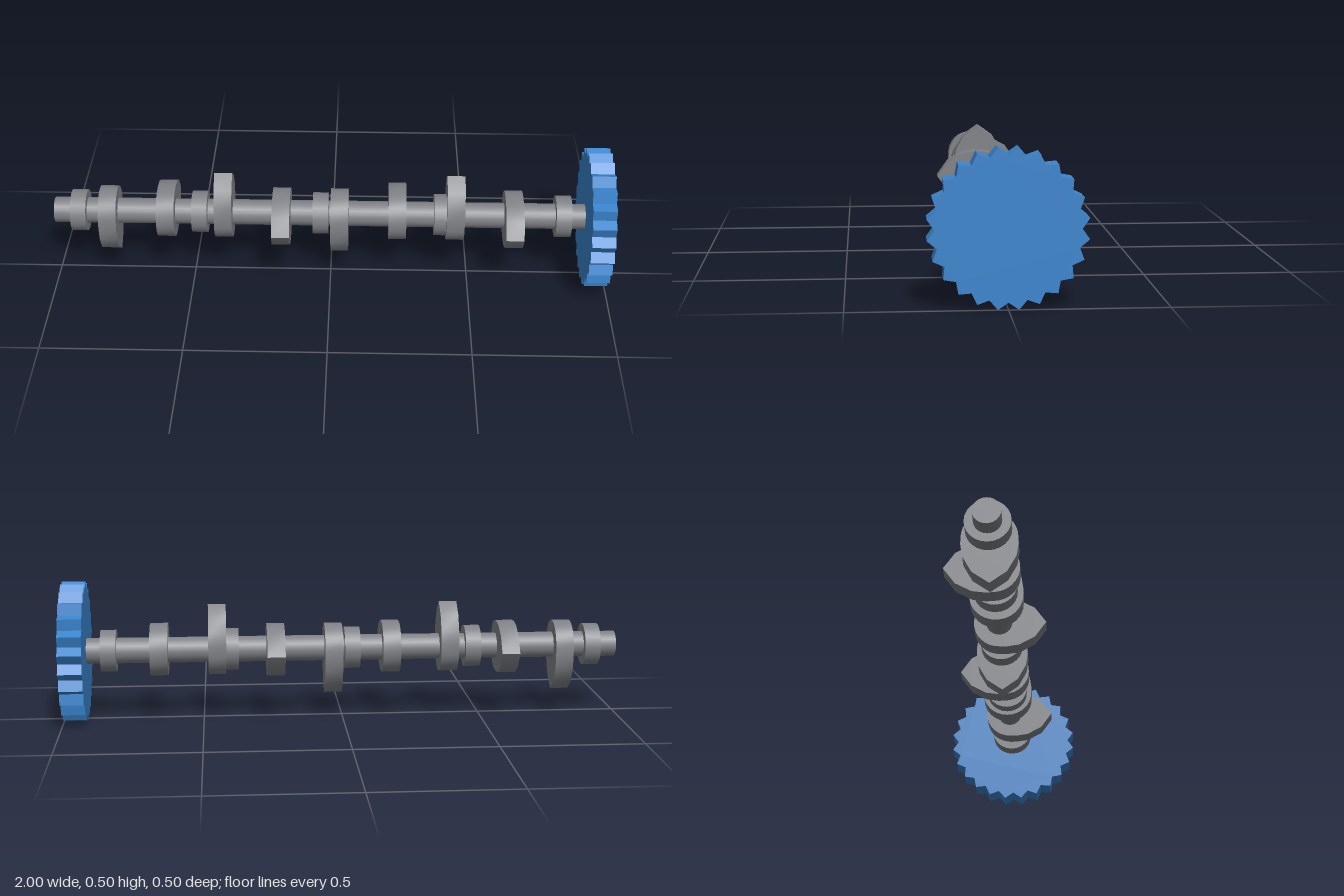
import * as THREE from 'three';
import { toCreasedNormals } from 'three/addons/utils/BufferGeometryUtils.js';

const AXIS_Y = 0.249;

export function createModel() {
  const model = new THREE.Group();
  model.name = 'camshaft';
  const steel = new THREE.MeshStandardMaterial({ color: 0x808287 });
  steel.name = 'steel grey';
  const blue = new THREE.MeshStandardMaterial({ color: 0x3a85ce });
  blue.name = 'gear blue';

  function add(name, geometry, material, x) {
    const mesh = new THREE.Mesh(geometry, material);
    mesh.name = name;
    mesh.position.set(x, AXIS_Y, 0);
    model.add(mesh);
    return mesh;
  }

  // Disc or rod lying along x
  const rod = (radius, length) =>
    new THREE.CylinderGeometry(radius, radius, length, 24).rotateZ(Math.PI / 2);

  // Outline extruded along x, centred on its thickness
  function slab(points, width, crease) {
    const geometry = new THREE.ExtrudeGeometry(new THREE.Shape(points), {
      depth: width, bevelEnabled: false,
    });
    geometry.translate(0, 0, -width / 2).rotateY(Math.PI / 2);
    return toCreasedNormals(geometry, crease);
  }

  // Main shaft
  add('shaft', rod(0.046, 1.93), steel, -0.035);

  // Five bearing journals
  for (let i = 0; i < 5; i++) {
    add('journal' + (i + 1), rod(0.075, 0.056), steel, -0.909 + i * 0.4365);
  }

  // Cam outline: round base below, flanks rising to a blunt nose
  const flank = [[0.0925, 0.025], [0.086, 0.07], [0.056, 0.125]];
  const outline = flank.map(([x, y]) => new THREE.Vector2(x, y));
  outline.push(new THREE.Vector2(0, 0.165));
  for (const [x, y] of [...flank].reverse()) outline.push(new THREE.Vector2(-x, y));
  for (let i = 0; i <= 16; i++) {
    const a = Math.PI + (i / 16) * Math.PI;
    outline.push(new THREE.Vector2(Math.cos(a) * 0.0915, Math.sin(a) * 0.0895));
  }
  const camGeometry = slab(outline, 0.064, 0.5);

  // Eight cams, each a quarter turn on from the last
  for (let i = 0; i < 8; i++) {
    const cam = add('cam' + (i + 1), camGeometry, steel, -0.802 + i * 0.2085);
    cam.rotation.x = Math.PI + i * Math.PI / 2;
  }

  // Timing gear with 24 pointed teeth
  const teeth = [];
  for (let i = 0; i < 48; i++) {
    const a = (i / 48) * Math.PI * 2;
    const r = i % 2 ? 0.25 : 0.225;
    teeth.push(new THREE.Vector2(Math.cos(a) * r, Math.sin(a) * r));
  }
  add('timingGear', slab(teeth, 0.084, 0.3), blue, 0.958);

  return model;
}
